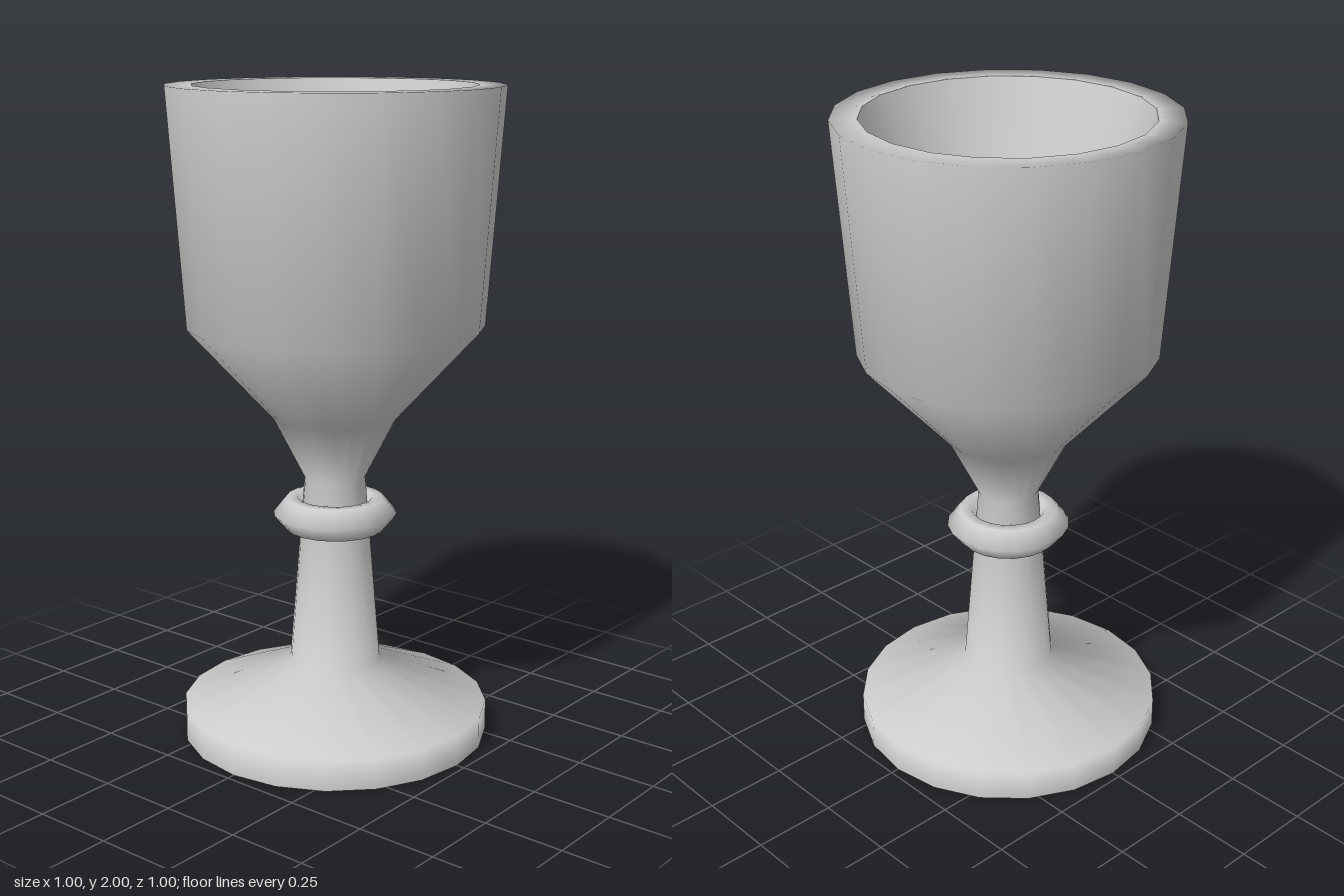
import * as THREE from 'three';

const SIDES = 20;

export function createModel() {
  const model = new THREE.Group();
  model.name = 'goblet';
  const metal = new THREE.MeshStandardMaterial({ color: 0xcccccc });
  metal.name = 'pale grey metal';

  // Turns a profile of [radius, height] points around the y axis
  function turned(name, profile) {
    const points = profile.map(([r, y]) => new THREE.Vector2(r, y));
    const mesh = new THREE.Mesh(new THREE.LatheGeometry(points, SIDES), metal);
    mesh.name = name;
    model.add(mesh);
  }

  // Flat underside of the foot
  turned('underside', [[0, 0], [0.475, 0]]);

  // Foot, tapering stem, outer bowl and flat rim in one smooth sweep
  turned('body', [
    [0.475, 0], [0.475, 0.095], [0.14, 0.235], [0.093, 0.82],
    [0.19, 1.01], [0.45, 1.295], [0.5, 2], [0.42, 2],
  ]);

  // Funnel-shaped hollow, narrowing from the rim to a small floor
  turned('bowlInside', [[0.42, 2], [0.05, 0.95], [0, 0.95]]);

  // Six-sided collar around the stem
  turned('collar', [
    [0.08, 0.705], [0.115, 0.657], [0.15, 0.657], [0.19, 0.705],
    [0.15, 0.755], [0.115, 0.755], [0.08, 0.705],
  ]);

  return model;
}
